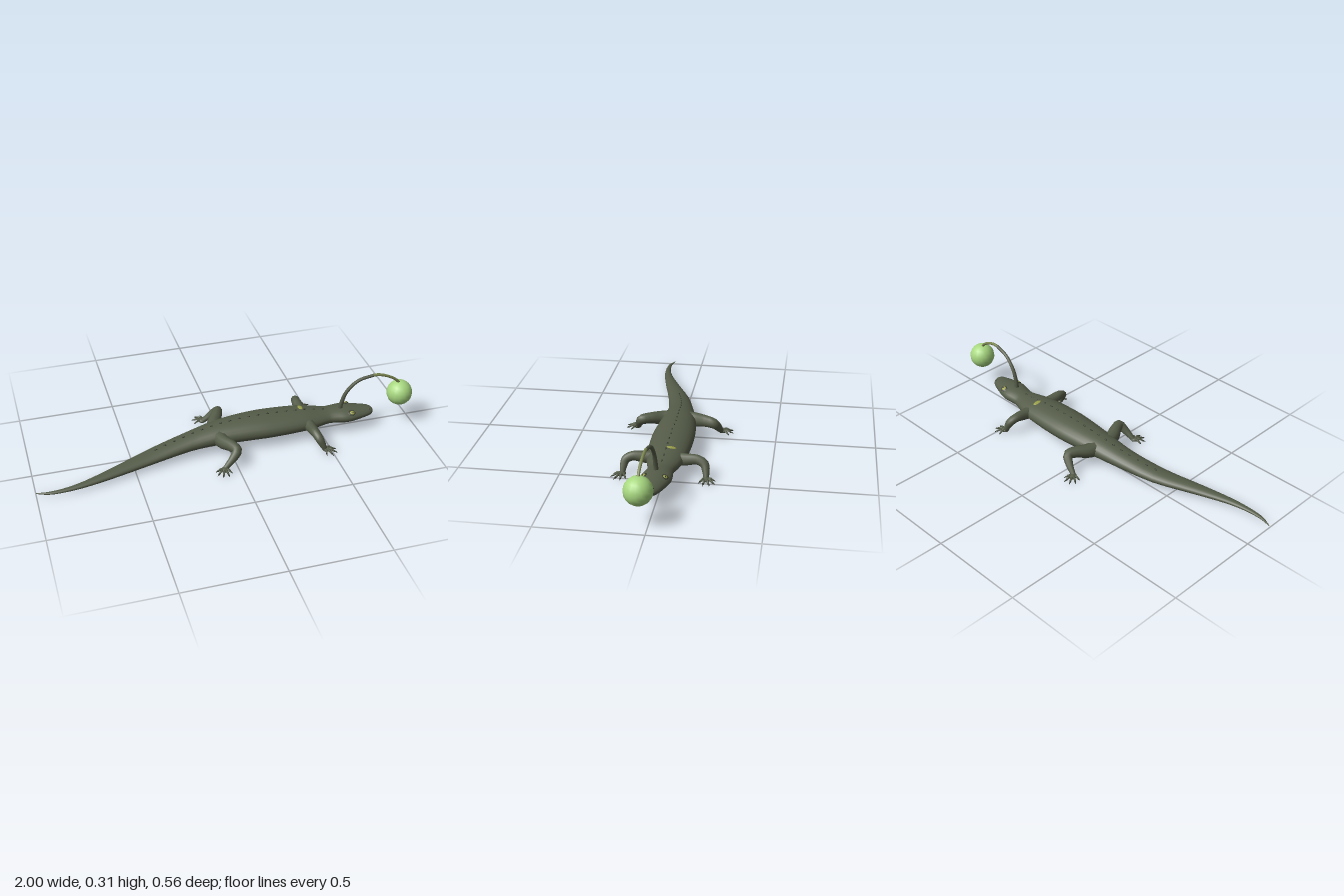
import * as THREE from 'three';

const mat = (name, color) => {
  const m = new THREE.MeshStandardMaterial({ color });
  m.name = name;
  return m;
};

// Body stations from tail to snout: x, centre z, half width, bottom y, top y
const BODY = [
  [-1.0, 0.16, 0.002, 0.014, 0.018], [-0.94, 0.178, 0.009, 0.012, 0.024],
  [-0.85, 0.178, 0.014, 0.012, 0.030], [-0.75, 0.161, 0.022, 0.012, 0.038],
  [-0.6, 0.117, 0.037, 0.012, 0.051], [-0.4, 0.053, 0.056, 0.014, 0.070],
  [-0.2, 0.012, 0.066, 0.024, 0.104], [-0.05, -0.002, 0.083, 0.029, 0.131],
  [0.1, -0.005, 0.099, 0.029, 0.143], [0.22, -0.004, 0.105, 0.029, 0.145],
  [0.4, -0.002, 0.096, 0.034, 0.137], [0.48, 0, 0.080, 0.041, 0.126],
  [0.54, 0.003, 0.063, 0.047, 0.119], [0.58, 0.006, 0.066, 0.047, 0.121],
  [0.62, 0.010, 0.073, 0.046, 0.123], [0.66, 0.014, 0.071, 0.049, 0.121],
  [0.71, 0.018, 0.058, 0.055, 0.116], [0.75, 0.021, 0.046, 0.061, 0.111],
  [0.775, 0.024, 0.033, 0.067, 0.106], [0.787, 0.025, 0.017, 0.076, 0.098],
  [0.79, 0.025, 0.001, 0.087, 0.088],
];

// Smooth section of the body at x, blended between stations
function section(x) {
  const n = BODY.length - 1;
  let i = 0;
  while (i < n - 1 && x > BODY[i + 1][0]) i++;
  const a = BODY[i], b = BODY[i + 1], p = BODY[Math.max(i - 1, 0)], q = BODY[Math.min(i + 2, n)];
  const d = b[0] - a[0], t = (x - a[0]) / d, t2 = t * t, t3 = t2 * t;
  const v = [1, 2, 3, 4].map((k) => {
    const ma = (b[k] - p[k]) / (b[0] - p[0]) * d, mb = (q[k] - a[k]) / (q[0] - a[0]) * d;
    return (2 * t3 - 3 * t2 + 1) * a[k] + (t3 - 2 * t2 + t) * ma + (3 * t2 - 2 * t3) * b[k] + (t3 - t2) * mb;
  });
  return { z: v[0], rz: Math.max(v[1], 0.001), y: (v[2] + v[3]) / 2, ry: Math.max((v[3] - v[2]) / 2, 0.001) };
}

// Point on the skin; angle 0 is the spine, positive turns towards +z
function onBody(x, angle) {
  const s = section(x);
  return new THREE.Vector3(x, s.y + s.ry * Math.cos(angle), s.z + s.rz * Math.sin(angle));
}

function bodyGeometry() {
  const sides = 24, pos = [], index = [], xs = [];
  for (let i = 0; i < BODY.length - 1; i++)
    for (let k = 0; k < 3; k++) xs.push(THREE.MathUtils.lerp(BODY[i][0], BODY[i + 1][0], k / 3));
  xs.push(BODY[BODY.length - 1][0]);
  xs.forEach((x, i) => {
    for (let j = 0; j < sides; j++) {
      pos.push(...onBody(x, (j / sides) * Math.PI * 2).toArray());
      if (!i) continue;
      const a = (i - 1) * sides + j, b = (i - 1) * sides + (j + 1) % sides;
      index.push(a, b, a + sides, b, b + sides, a + sides);
    }
  });
  const g = new THREE.BufferGeometry();
  g.setAttribute('position', new THREE.Float32BufferAttribute(pos, 3));
  g.setIndex(index);
  g.computeVertexNormals();
  return g;
}

// Tube along points with a radius at each point
function taper(points, radii, steps = 20, sides = 10) {
  const curve = new THREE.CatmullRomCurve3(points.map((p) => new THREE.Vector3(...p)));
  const g = new THREE.TubeGeometry(curve, steps, 1, sides);
  const pos = g.attributes.position, v = new THREE.Vector3();
  for (let i = 0; i <= steps; i++) {
    const c = curve.getPointAt(i / steps);
    const f = curve.getUtoTmapping(i / steps) * (radii.length - 1);
    const k = Math.min(Math.floor(f), radii.length - 2);
    const r = THREE.MathUtils.lerp(radii[k], radii[k + 1], f - k);
    for (let j = 0; j <= sides; j++) {
      const n = i * (sides + 1) + j;
      v.fromBufferAttribute(pos, n).sub(c).multiplyScalar(r).add(c);
      pos.setXYZ(n, v.x, v.y, v.z);
    }
  }
  return g;
}

export function createModel() {
  const skin = mat('skin', 0x555c48);
  const dark = mat('dark scales', 0x343a2d);
  const olive = mat('olive yellow', 0x9a9f4c);
  const stalkTip = mat('stalk tip', 0x7c8751);
  const glow = mat('lure green', 0xa8d880);

  const model = new THREE.Group();
  const add = (name, geometry, material, parent = model) => {
    const m = new THREE.Mesh(geometry, material);
    m.name = name;
    parent.add(m);
    return m;
  };
  add('body', bodyGeometry(), skin);

  // Row of small scales along the spine
  const scale = new THREE.SphereGeometry(1, 8, 6);
  for (let i = 0; i < 19; i++) {
    const x = -0.38 + i * 0.05;
    const m = add('spineScale', scale, dark);
    m.position.copy(onBody(x, 0));
    m.scale.set(0.008, 0.005, 0.004);
  }

  // Flat oval lying on the skin
  const ball = new THREE.SphereGeometry(1, 16, 10);
  function oval(name, x, angle, sx, sy, sz, material, lift = 0) {
    const p = onBody(x, angle), s = section(x);
    const normal = new THREE.Vector3(0, Math.cos(angle) / s.ry, Math.sin(angle) / s.rz).normalize();
    const m = add(name, ball, material);
    m.position.copy(p).addScaledVector(normal, lift);
    m.quaternion.setFromUnitVectors(new THREE.Vector3(0, 1, 0), normal);
    m.scale.set(sx, sy, sz);
  }
  oval('backSpot', 0.405, -0.26, 0.012, 0.003, 0.024, olive);
  for (const side of [1, -1]) {
    oval('eyelid', 0.66, side * 0.78, 0.02, 0.004, 0.016, dark);
    oval('eye', 0.662, side * 0.78, 0.014, 0.006, 0.012, olive, 0.001);
    oval('pupil', 0.664, side * 0.78, 0.009, 0.003, 0.003, dark, 0.0052);
    oval('nostril', 0.765, side * 0.6, 0.004, 0.002, 0.003, dark);
  }

  // Foot with five spread toes; heading is measured from +x towards the outside
  function foot(parent, x, z, heading, length) {
    const f = new THREE.Group();
    f.name = 'foot';
    f.position.set(x, 0, z);
    f.rotation.y = -heading;
    parent.add(f);
    const palm = add('palm', ball, skin, f);
    palm.position.set(0.004, 0.014, 0);
    palm.scale.set(0.024, 0.011, 0.018);
    [-1.25, -0.6, -0.05, 0.5, 1.1].forEach((a, i) => {
      const l = length * [0.72, 0.92, 1, 0.95, 0.75][i], c = Math.cos(a), s = Math.sin(a);
      const at = (d, y) => [d * l * c, y, d * l * s];
      add('toe', taper([at(0.1, 0.014), at(0.45, 0.018), at(0.8, 0.008)], [0.007, 0.006, 0.004], 8, 6), skin, f);
      add('claw', taper([at(0.74, 0.010), at(0.88, 0.008), at(1, 0.003)], [0.0046, 0.003, 0.0003], 5, 6), dark, f);
    });
  }

  // Legs, mirrored across the body
  for (const side of [1, -1]) {
    const front = new THREE.Group();
    front.name = 'frontLeg';
    add('arm', taper(
      [[0.42, 0.085, side * 0.04], [0.425, 0.087, side * 0.1], [0.428, 0.09, side * 0.155],
        [0.438, 0.074, side * 0.188], [0.452, 0.045, side * 0.197], [0.466, 0.014, side * 0.2]],
      [0.034, 0.029, 0.023, 0.022, 0.018, 0.012]), skin, front);
    foot(front, 0.47, side * 0.2, side * (side > 0 ? 0.65 : 0.3), 0.062);

    const hind = new THREE.Group();
    hind.name = 'hindLeg';
    add('leg', taper(
      [[-0.055, 0.08, side * 0.03], [-0.04, 0.083, side * 0.09], [-0.012, 0.09, side * 0.145],
        [0.002, 0.086, side * 0.185], [-0.025, 0.055, side * 0.204], [-0.068, 0.015, side * 0.217]],
      [0.042, 0.036, 0.029, 0.026, 0.02, 0.012]), skin, hind);
    foot(hind, -0.072, side * 0.222, side * 2.0, 0.062);
    model.add(front, hind);
  }

  // Arched stalk in two colours, and the lure hanging from it
  add('stalkBase', taper(
    [[0.612, 0.105, 0.013], [0.618, 0.15, 0.015], [0.642, 0.217, 0.018], [0.70, 0.277, 0.023], [0.78, 0.301, 0.03]],
    [0.012, 0.011, 0.0095, 0.0085, 0.008], 24, 8), skin);
  add('stalkEnd', taper(
    [[0.778, 0.301, 0.03], [0.81, 0.3, 0.032], [0.86, 0.285, 0.036], [0.905, 0.258, 0.039], [0.93, 0.23, 0.04]],
    [0.008, 0.0078, 0.0075, 0.007, 0.007], 18, 8), stalkTip);
  add('lure', new THREE.SphereGeometry(0.067, 16, 12), glow).position.set(0.93, 0.178, 0.04);

  return model;
}
